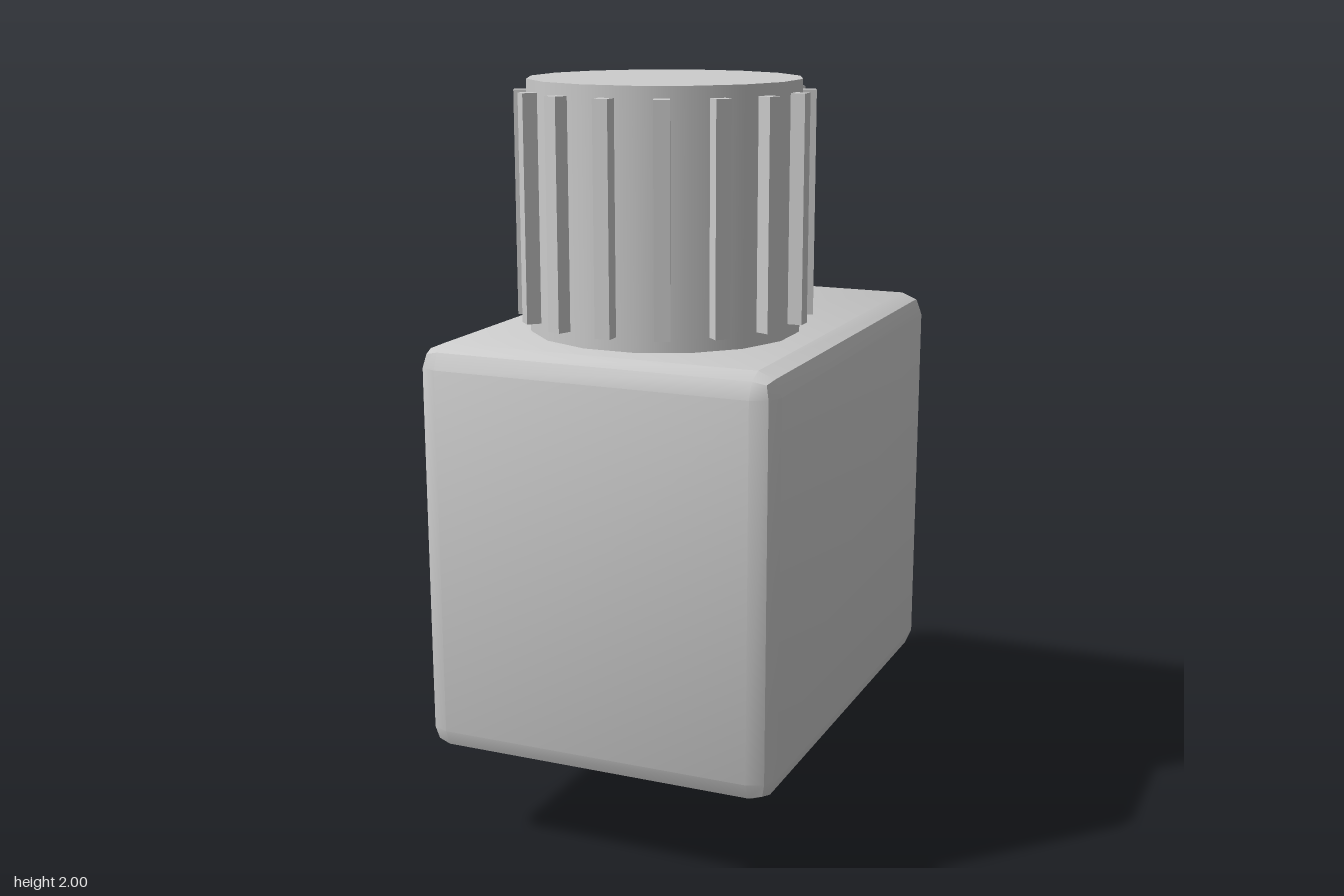
import * as THREE from 'three';
import { toCreasedNormals } from 'three/addons/utils/BufferGeometryUtils.js';
import { RoundedBoxGeometry } from 'three/addons/geometries/RoundedBoxGeometry.js';

const SIDES = 16;
const CENTRE_X = 0.0125;
const KNOB_Z = 0.16;

export function createModel() {
  const group = new THREE.Group();
  const grey = new THREE.MeshStandardMaterial({ color: 0xcccccc });
  grey.name = 'plain grey';

  const add = (name, geometry, x, y, z, parent = group) => {
    const mesh = new THREE.Mesh(geometry, grey);
    mesh.name = name;
    mesh.position.set(x, y, z);
    parent.add(mesh);
    return mesh;
  };
  // Upright cylinder with a flat facing each axis
  const column = (radius, height) =>
    new THREE.CylinderGeometry(radius, radius, height, SIDES).rotateY(Math.PI / SIDES);

  // Housing with a two-step bevel, each face shaded softly up to the edge
  const housing = new RoundedBoxGeometry(0.965, 1.09, 1.284, 1, 0.06);
  add('housing', toCreasedNormals(housing, Math.PI / 6), CENTRE_X, 0.81, -0.002);

  // Raised cover plate on the right side
  add('coverPlate', new THREE.BoxGeometry(0.04, 0.84, 1.03), -0.48, 0.81, 0.03);

  // Stem under the rear of the housing
  add('stem', column(0.159, 0.29), CENTRE_X, 0.145, -0.32);

  // Knob with a grip rib on every facet
  const knob = new THREE.Group();
  knob.name = 'knob';
  knob.position.set(CENTRE_X, 0, KNOB_Z);
  group.add(knob);
  add('knobBarrel', column(0.355, 0.66), 0, 1.67, 0, knob);
  const ribGeometry = new THREE.BoxGeometry(0.04, 0.58, 0.038);
  for (let i = 0; i < SIDES; i++) {
    const a = (i / SIDES) * Math.PI * 2;
    const rib = add('gripRib', ribGeometry, Math.sin(a) * 0.367, 1.68, Math.cos(a) * 0.367, knob);
    rib.rotation.y = a;
  }

  return group;
}
